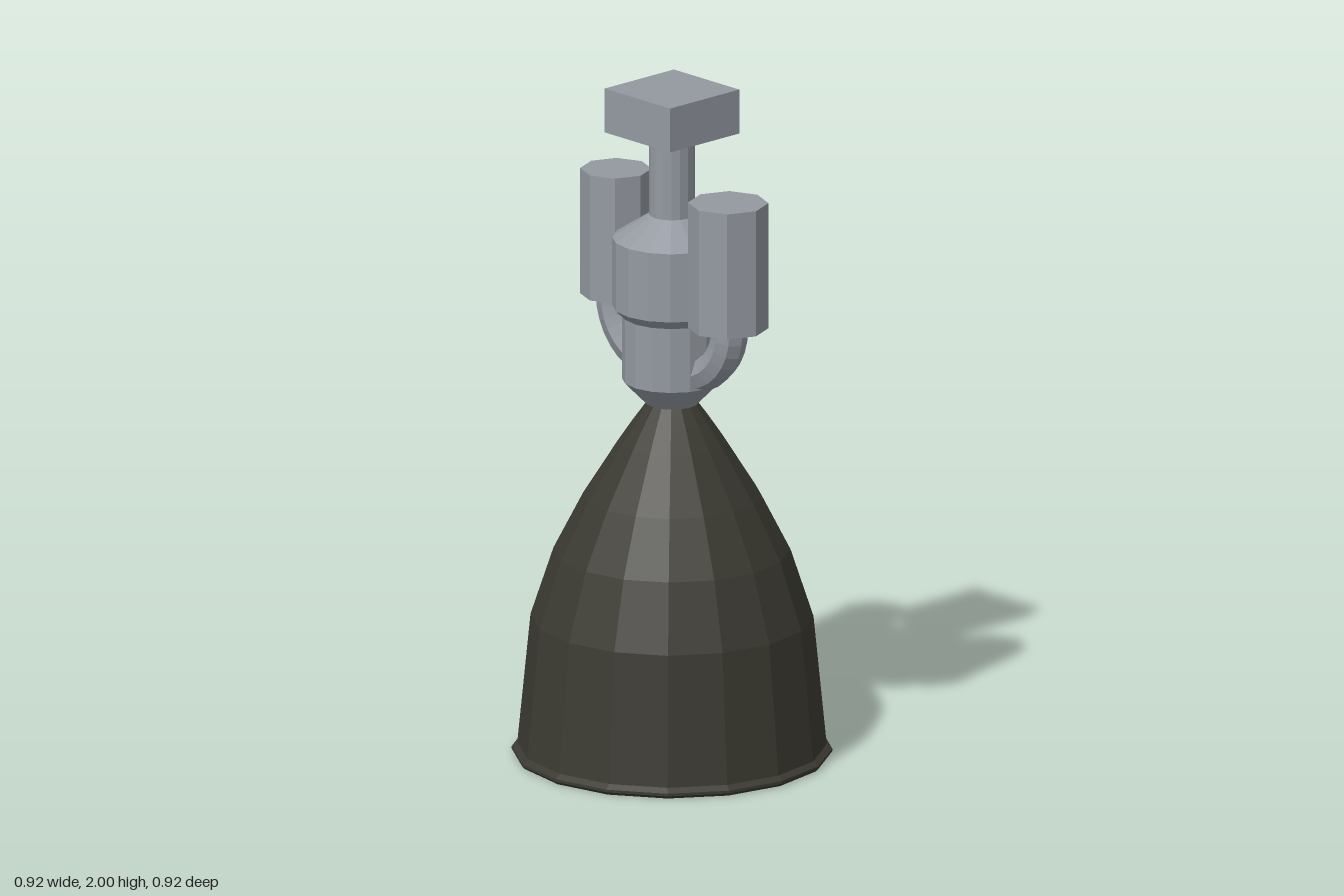
import * as THREE from 'three';

export function createModel() {
  const model = new THREE.Group();
  const metal = new THREE.MeshStandardMaterial({ color: 0x9499a1, flatShading: true });
  metal.name = 'grey metal';
  const dark = new THREE.MeshStandardMaterial({ color: 0x3b3a32, flatShading: true, side: THREE.DoubleSide });
  dark.name = 'dark nozzle';

  const add = (name, geometry, material, x = 0, y = 0, z = 0) => {
    const mesh = new THREE.Mesh(geometry, material);
    mesh.name = name;
    mesh.position.set(x, y, z);
    model.add(mesh);
    return mesh;
  };
  // sixteen-sided turned part from [radius, height] pairs, bottom to top
  const turned = (points) =>
    new THREE.LatheGeometry(points.map(([r, y]) => new THREE.Vector2(r, y)), 16);

  // open bell with a thin rim bead
  add('nozzleBell', turned([
    [0.445, 0.035], [0.407, 0.42], [0.341, 0.62], [0.256, 0.785],
    [0.155, 0.945], [0.112, 1.008], [0.074, 1.06],
  ]), dark);
  add('nozzleRim', turned([
    [0.443, 0.006], [0.452, 0.005], [0.461, 0.014], [0.461, 0.022], [0.445, 0.035], [0.443, 0.006],
  ]), dark);

  // throat, combustion chamber, shoulder and neck
  add('chamber', turned([
    [0, 1.058], [0.074, 1.058], [0.144, 1.13], [0.144, 1.322], [0.172, 1.35],
    [0.172, 1.555], [0.066, 1.625], [0.066, 1.88],
  ]), metal);

  // square mount on top
  add('mountBlock', new THREE.BoxGeometry(0.274, 0.132, 0.274), metal, 0, 1.934, 0);

  // side pumps, the left one slightly larger, with bent feed pipes
  for (const [side, x, r] of [['left', 0.235, 0.116], ['right', -0.235, 0.103]]) {
    const s = Math.sign(x);
    add(side + 'Pump', new THREE.CylinderGeometry(r, r, 0.376, 8), metal, x, 1.522, 0);
    const pipe = add(side + 'FeedPipe',
      new THREE.TorusGeometry(0.17, 0.053, 8, 8, Math.PI / 2), metal, s * 0.072, 1.335, 0);
    pipe.rotation.z = s > 0 ? -Math.PI / 2 : Math.PI;
  }
  return model;
}
